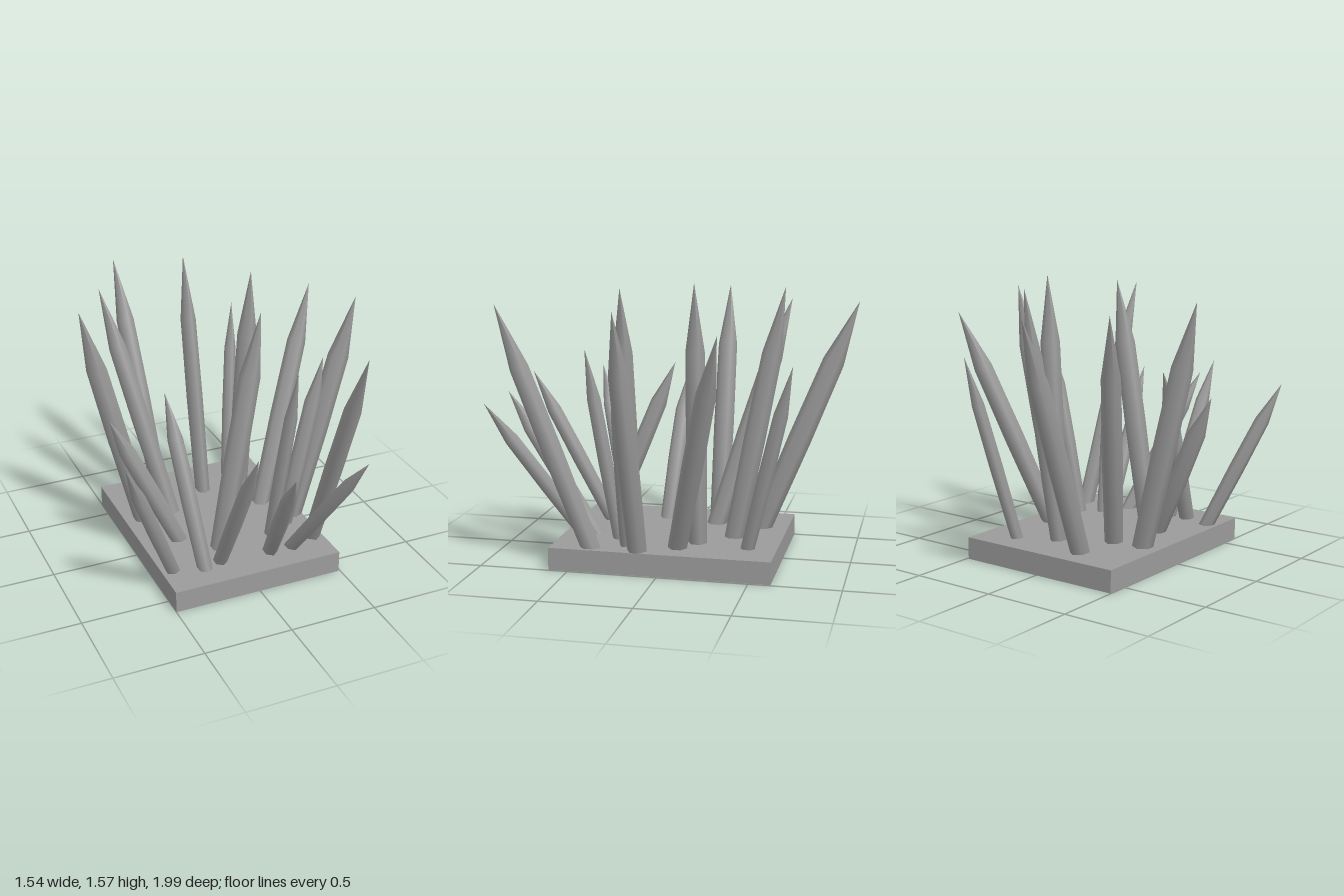
import * as THREE from 'three';

// Spikes: [base x, base z, tip x, tip y, tip z, radius x, radius z]
const BACK = [
  [-0.18, -0.465, -0.24, 1.44, -0.995, 0.055, 0.066],
  [0.06, -0.35, 0.06, 1.54, -0.62, 0.046, 0.06],
  [0.27, -0.46, 0.41, 1.16, -0.71, 0.036, 0.042],
  [-0.21, -0.2, -0.47, 1.43, -0.59, 0.055, 0.06],
];
const MIDDLE = [
  [-0.39, -0.18, -0.72, 1.48, -0.18, 0.064, 0.06],
  [0.21, -0.17, 0.28, 1.57, -0.16, 0.06, 0.058],
  [0.33, -0.08, 0.76, 1.35, -0.375, 0.058, 0.058],
  [0.435, 0.12, 0.77, 1.46, 0.16, 0.064, 0.06],
  [0.345, 0.2, 0.56, 1.15, 0.2, 0.05, 0.045],
  [0.22, 0.275, 0.28, 1.2, 0.45, 0.037, 0.042],
  [-0.1, 0.285, 0.13, 1.52, 0.29, 0.062, 0.06],
  [-0.285, 0.11, -0.66, 0.94, 0.07, 0.054, 0.05],
];
const FRONT = [
  [-0.265, 0.45, -0.34, 1.05, 0.08, 0.046, 0.052],
  [-0.435, 0.4, -0.77, 0.95, 0.64, 0.044, 0.044],
  [-0.16, 0.42, -0.16, 1.0, 0.895, 0.041, 0.046],
  [0.14, 0.435, 0.0, 0.9, 0.995, 0.044, 0.05],
  [0.27, 0.44, 0.42, 0.9, 0.985, 0.038, 0.046],
  [0.43, 0.385, 0.43, 1.45, 0.91, 0.046, 0.06],
];
const PLATE_TOP = 0.125;
const UP = new THREE.Vector3(0, 1, 0);

export function createModel() {
  const group = new THREE.Group();
  const material = new THREE.MeshStandardMaterial({ color: 0x9b9b9b });

  // Flat base plate
  const plate = new THREE.Mesh(new THREE.BoxGeometry(0.99, PLATE_TOP, 1.23), material);
  plate.position.set(-0.005, PLATE_TOP / 2, -0.005);
  plate.name = 'basePlate';
  group.add(plate);

  // Pointed six-sided shaft of unit length, rooted below the plate top
  const profile = [[0, -0.05], [0.9, -0.05], [1, 0.4], [0.93, 0.74], [0, 1]];
  const spikeGeometry = new THREE.LatheGeometry(
    profile.map(([r, y]) => new THREE.Vector2(r, y)), 6);

  // Each row of spikes leans outward from the plate
  Object.entries({ backSpike: BACK, middleSpike: MIDDLE, frontSpike: FRONT }).forEach(([name, row]) => {
    row.forEach(([bx, bz, tx, ty, tz, rx, rz], i) => {
      const spike = new THREE.Mesh(spikeGeometry, material);
      spike.position.set(bx, PLATE_TOP, bz);
      const axis = new THREE.Vector3(tx, ty, tz).sub(spike.position);
      spike.scale.set(rx, axis.length(), rz);
      spike.quaternion.setFromUnitVectors(UP, axis.normalize());
      spike.name = `${name}${i + 1}`;
      group.add(spike);
    });
  });

  return group;
}
